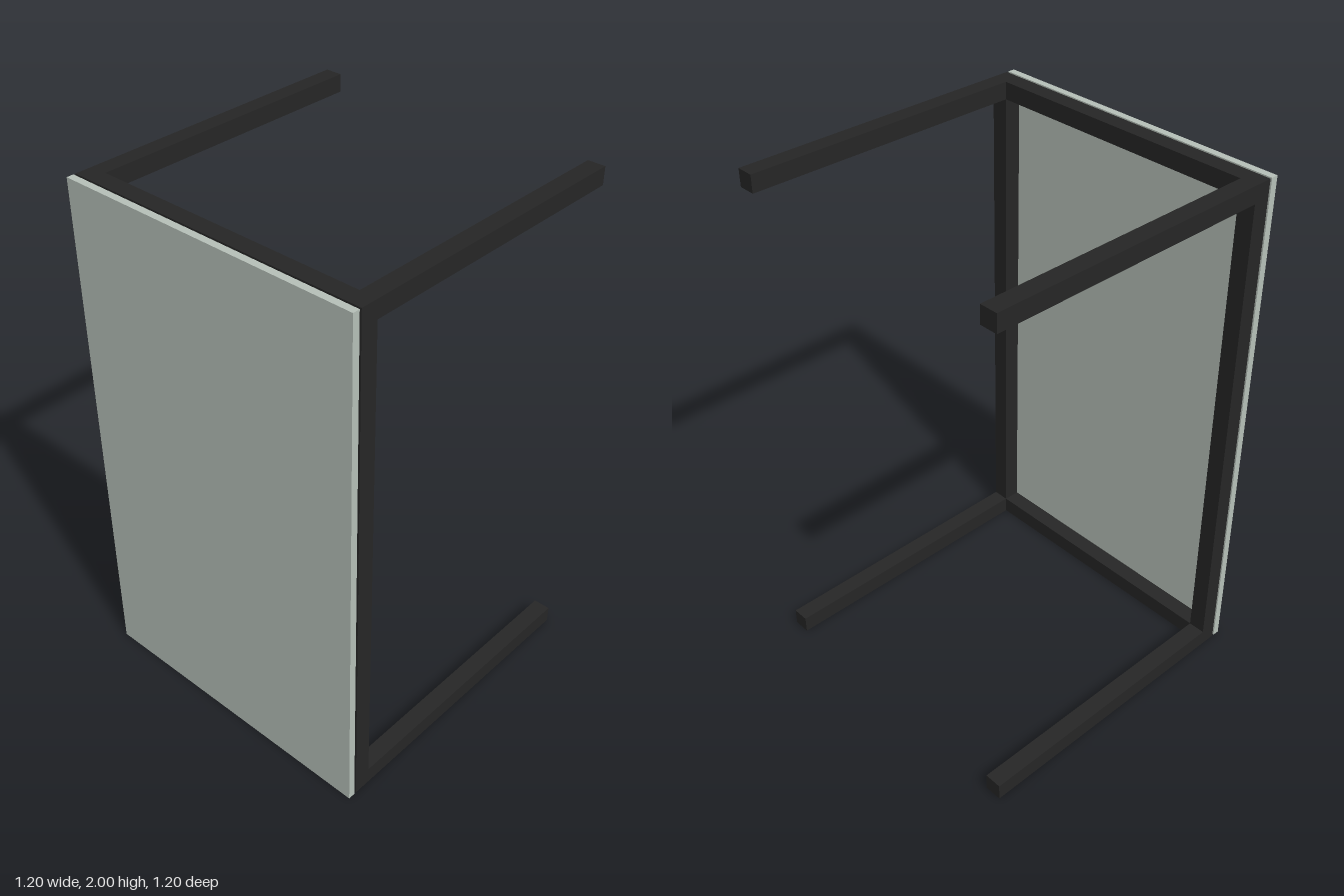
import * as THREE from 'three';

const W = 1.2, H = 2, BAR = 0.066;
const BACK = -0.6, FRAME_BACK = 0.499, FRAME_FRONT = FRAME_BACK + BAR;

export function createModel() {
  const model = new THREE.Group();
  model.name = 'panelFrame';
  const dark = new THREE.MeshStandardMaterial({ color: 0x262626 });
  const glass = new THREE.MeshStandardMaterial({ color: 0xb7c1b9 });

  const box = (name, material, size, position) => {
    const mesh = new THREE.Mesh(new THREE.BoxGeometry(...size), material);
    mesh.name = name;
    mesh.position.set(...position);
    model.add(mesh);
  };

  // Front panel, standing just clear of the frame
  box('frontPanel', glass, [W, H, 0.027], [0, H / 2, 0.5865]);

  const frameZ = (FRAME_BACK + FRAME_FRONT) / 2;
  const armLength = FRAME_BACK - BACK;
  const sideX = (W - BAR) / 2;

  // Uprights at both sides
  for (const [side, sign] of [['left', 1], ['right', -1]]) {
    box(side + 'Upright', dark, [BAR, H, BAR], [sign * sideX, H / 2, frameZ]);
  }

  // Top and bottom: a cross rail and two arms reaching back
  for (const [level, y] of [['Bottom', BAR / 2], ['Top', H - BAR / 2]]) {
    box('cross' + level + 'Rail', dark, [W - 2 * BAR, BAR, BAR], [0, y, frameZ]);
    for (const [side, sign] of [['left', 1], ['right', -1]]) {
      box(side + level + 'Arm', dark, [BAR, BAR, armLength],
        [sign * sideX, y, BACK + armLength / 2]);
    }
  }
  return model;
}
